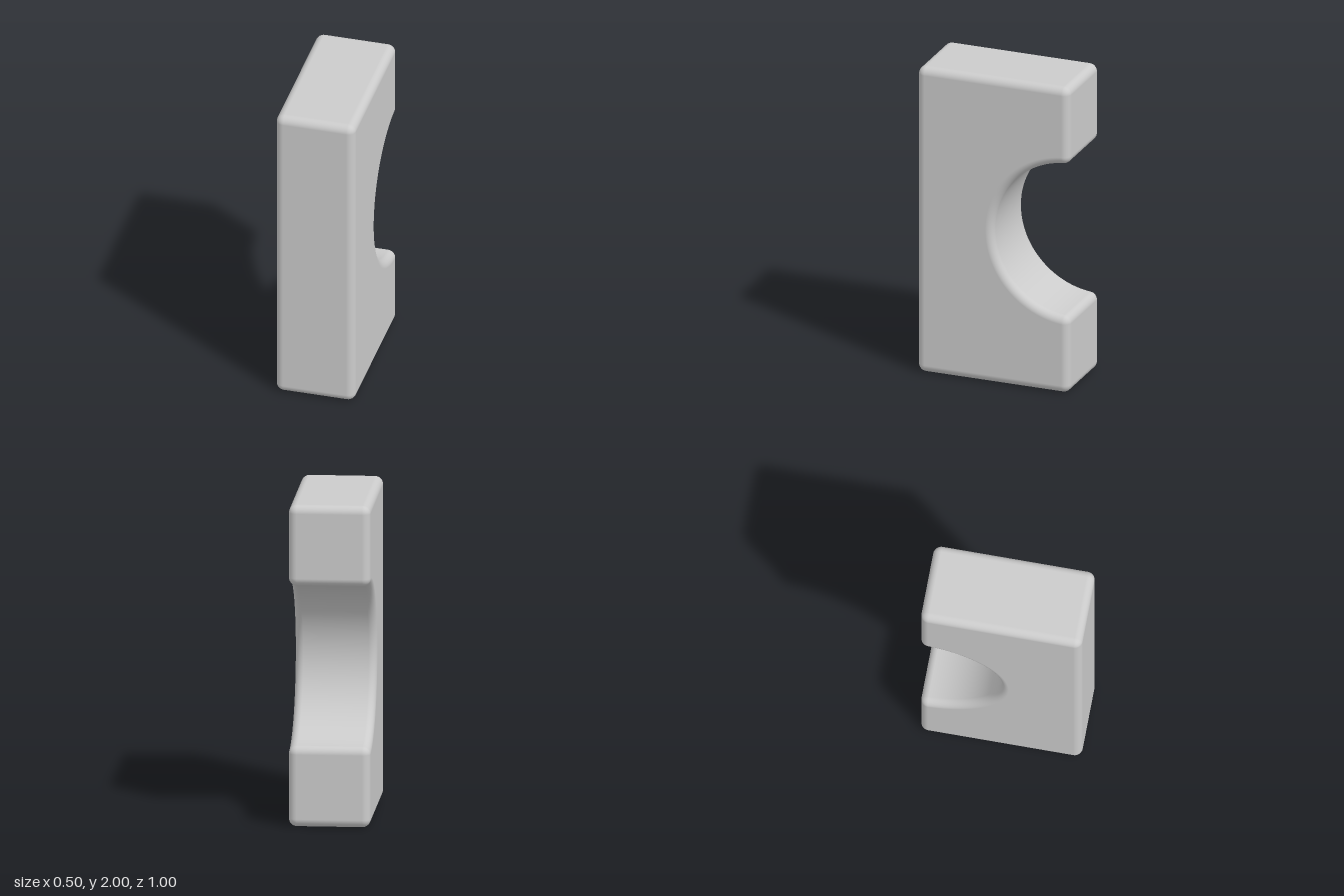
import * as THREE from 'three';

const R = 0.05;          // edge rounding
const NOTCH = 0.5;       // notch radius
const STEPS = 8;         // segments per rounded edge
const ARC = 48;          // segments around the notch

// Side outline inset by R, counter-clockwise: each entry is a point and its outward direction
function insetOutline() {
  const outline = [];
  const corner = (x, y, from, to) => {
    for (let i = 0; i <= STEPS; i++) {
      const a = from + (to - from) * i / STEPS;
      outline.push({ x, y, nx: Math.cos(a), ny: Math.sin(a), first: i === 0 });
    }
  };
  const q = Math.PI / 2, r = NOTCH + R;
  const lip = Math.acos(R / r), rise = r * Math.sin(lip);

  corner(-0.5 + R, R, 2 * q, 3 * q);
  corner(0.5 - R, R, 3 * q, 4 * q);
  corner(0.5 - R, 1 - rise, 0, lip);
  // Half-round notch, from the lower lip to the upper lip
  for (let i = 1; i < ARC; i++) {
    const a = Math.PI + lip - 2 * lip * i / ARC;
    const c = Math.cos(a), s = Math.sin(a);
    outline.push({ x: 0.5 + r * c, y: 1 + r * s, nx: -c, ny: -s, first: true });
  }
  corner(0.5 - R, 1 + rise, -lip, 0);
  corner(0.5 - R, 2 - R, 0, q);
  corner(-0.5 + R, 2 - R, q, 2 * q);
  return outline;
}

// Sweep the outline across the thickness, rounding both rims, then close the two flat sides
function roundedSlab(thickness) {
  const outline = insetOutline(), n = outline.length;
  const rings = 2 * (STEPS + 1);
  const position = [], normal = [], index = [];

  for (let j = 0; j < rings; j++) {
    const upper = j > STEPS;
    const a = Math.PI / 2 * ((upper ? j - 1 : j) / STEPS - 1);
    const c = Math.cos(a), s = Math.sin(a);
    const z = (upper ? 1 : -1) * (thickness / 2 - R) + R * s;
    for (const p of outline) {
      position.push(p.x + p.nx * R * c, p.y + p.ny * R * c, z);
      normal.push(p.nx * c, p.ny * c, s);
    }
  }
  for (let j = 0; j < rings - 1; j++) {
    for (let i = 0; i < n; i++) {
      const k = (i + 1) % n;
      const a = j * n + i, b = j * n + k, c = b + n, d = a + n;
      index.push(a, b, c, a, c, d);
    }
  }

  // Flat sides
  const rim = outline.map((p, i) => i).filter((i) => outline[i].first);
  const points = rim.map((i) => new THREE.Vector2(outline[i].x, outline[i].y));
  const top = (rings - 1) * n;
  for (const [a, b, c] of THREE.ShapeUtils.triangulateShape(points, [])) {
    index.push(top + rim[a], top + rim[b], top + rim[c]);
    index.push(rim[a], rim[c], rim[b]);
  }

  const geometry = new THREE.BufferGeometry();
  geometry.setAttribute('position', new THREE.Float32BufferAttribute(position, 3));
  geometry.setAttribute('normal', new THREE.Float32BufferAttribute(normal, 3));
  geometry.setIndex(index);
  return geometry;
}

export function createModel() {
  const group = new THREE.Group();
  group.name = 'notchedBlock';
  // The outline's right side, with the notch, turns to the back
  const geometry = roundedSlab(0.5).rotateY(Math.PI / 2);
  const block = new THREE.Mesh(geometry, new THREE.MeshStandardMaterial({ color: 0xcccccc }));
  block.name = 'block';
  group.add(block);
  return group;
}
